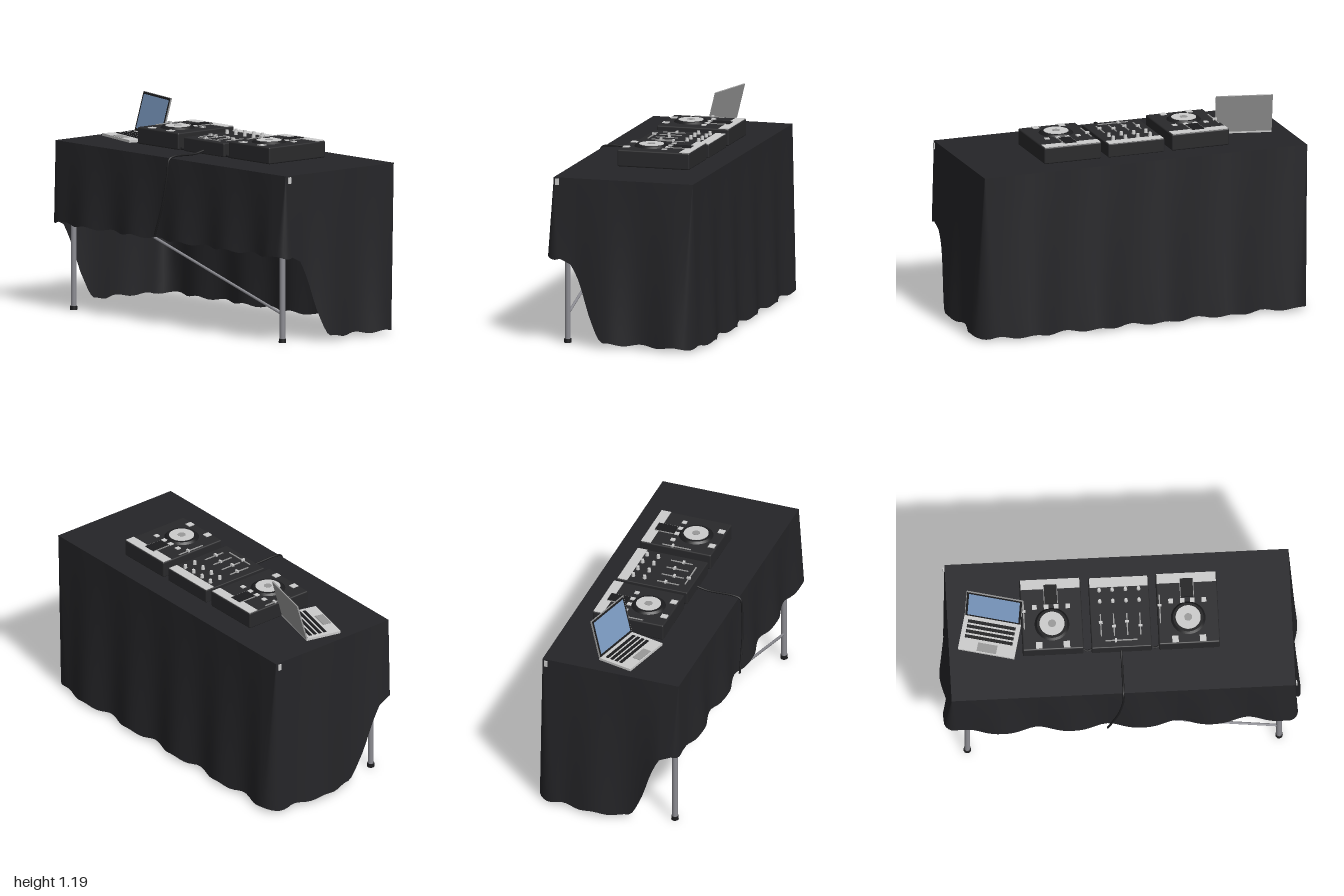
import * as THREE from 'three';
import { RoundedBoxGeometry } from 'three/addons/geometries/RoundedBoxGeometry.js';

const mat = (color, side = THREE.FrontSide) => new THREE.MeshStandardMaterial({ color, side });
const grey = mat(0xcccccc), cloth = mat(0x252528, THREE.DoubleSide), black = mat(0x1c1c1e);
const dark = mat(0x29292b), steel = mat(0x8c8c92), blue = mat(0x7d9cc4), mid = mat(0x999999);

const TOP = 0.95, HX = 0.405, HZ = 0.96;

function add(parent, name, geo, material, x = 0, y = 0, z = 0) {
  const m = new THREE.Mesh(geo, material);
  m.name = name;
  m.position.set(x, y, z);
  parent.add(m);
  return m;
}
const box = (p, name, m, w, h, d, x, y, z) => add(p, name, new THREE.BoxGeometry(w, h, d), m, x, y, z);
const disc = (p, name, m, r0, r1, h, x, y, z, n = 32) =>
  add(p, name, new THREE.CylinderGeometry(r0, r1, h, n), m, x, y, z);

function tube(p, name, m, pts, r) {
  const curve = new THREE.CatmullRomCurve3(pts.map(a => new THREE.Vector3(...a)), false, 'centripetal');
  return add(p, name, new THREE.TubeGeometry(curve, pts.length * 8, r, 8), m);
}

// Height of the hem along the short ends: cut away towards -x
const hemCut = [[-0.41, 0.49], [-0.33, 0.48], [-0.3, 0.45], [-0.25, 0.35], [-0.2, 0.2],
  [-0.15, 0.08], [-0.12, 0.025], [0.41, 0.015]];
function hemAt(x) {
  for (let i = 1; i < hemCut.length; i++) {
    const [x0, y0] = hemCut[i - 1], [x1, y1] = hemCut[i];
    if (x <= x1) return y0 + (y1 - y0) * Math.max(0, (x - x0) / (x1 - x0));
  }
  return 0.015;
}

// Draped skirt: columns around the table, corners fan out towards the hem
function skirtGeometry() {
  const cols = [], inset = 0.1, rows = 10;
  const sides = [[1, 0], [0, 1], [-1, 0], [0, -1]];
  sides.forEach(([nx, nz], k) => {
    const len = (nx ? HZ : HX) - inset, n = nx ? 56 : 28;
    for (let i = 0; i <= n; i++) {
      const u = len * (2 * i / n - 1);
      cols.push({ x: nx * HX - nz * u, z: nz * HZ + nx * u, nx, nz, corner: false });
    }
    const [mx, mz] = sides[(k + 1) % 4];
    for (let i = 1; i < 8; i++) {
      const a = i / 8 * Math.PI / 2, c = Math.cos(a), s = Math.sin(a);
      cols.push({ x: (nx + mx) * HX, z: (nz + mz) * HZ, nx: nx * c + mx * s, nz: nz * c + mz * s, corner: true });
    }
  });
  const pos = [], idx = [], N = cols.length;
  let s = 0;
  const total = 4 * (HX + HZ);
  cols.forEach((c, i) => {
    const prev = cols[(i + N - 1) % N];
    s += c.corner || prev.corner ? 0.025 : Math.hypot(c.x - prev.x, c.z - prev.z);
    const wave = 0.5 + 0.5 * Math.cos(s / total * 14 * 2 * Math.PI);
    const hem = hemAt(c.x) + 0.007 * (1 + Math.cos(s / total * 28 * 2 * Math.PI)) - 0.006;
    for (let j = 0; j <= rows; j++) {
      const t = j / rows, y = TOP - t * (TOP - hem);
      const out = t * (0.008 + 0.036 * wave);
      let { x, z } = c;
      if (c.corner) {
        const r = 0.002 + inset * (TOP - y) / TOP;
        x += r * (c.nx - Math.sign(c.x));
        z += r * (c.nz - Math.sign(c.z));
      }
      pos.push(x + c.nx * out, y, z + c.nz * out);
      if (j < rows) {
        const a = i * (rows + 1) + j, b = ((i + 1) % N) * (rows + 1) + j;
        idx.push(a, b, a + 1, b, b + 1, a + 1);
      }
    }
  });
  const g = new THREE.BufferGeometry();
  g.setAttribute('position', new THREE.Float32BufferAttribute(pos, 3));
  // columns run from +x to +z, so reverse the winding to face outwards
  for (let i = 0; i < idx.length; i += 3) [idx[i + 1], idx[i + 2]] = [idx[i + 2], idx[i + 1]];
  g.setIndex(idx);
  g.computeVertexNormals();
  return g;
}

function table() {
  const g = new THREE.Group();
  g.name = 'table';
  box(g, 'clothTop', cloth, 2 * HX, 0.006, 2 * HZ, 0, TOP - 0.003, 0);
  box(g, 'tableBoard', mid, 0.78, 0.03, 1.9, 0, TOP - 0.022, 0);
  add(g, 'clothSkirt', skirtGeometry(), cloth);
  for (const s of [1, -1]) {
    disc(g, 'leg', steel, 0.016, 0.016, 0.91, -0.35, 0.475, s * 0.87, 16);
    disc(g, 'foot', black, 0.02, 0.021, 0.022, -0.35, 0.011, s * 0.87, 16);
    box(g, 'cornerClip', grey, 0.02, 0.036, 0.006, -s * 0.383, 0.926, s * 0.967);
  }
  tube(g, 'diagonalBrace', steel, [[-0.35, 0.16, 0.87], [-0.35, 0.68, -0.87]], 0.008);
  return g;
}

// Fader: thin slot with a cap, along x or along z
function fader(p, alongX, len, x, y, z, cap) {
  box(p, 'faderSlot', mid, alongX ? len : 0.007, 0.004, alongX ? 0.007 : len, x, y + 0.002, z);
  box(p, 'faderCap', grey, alongX ? 0.012 : 0.022, 0.012, alongX ? 0.022 : 0.012,
    x + (alongX ? cap : 0), y + 0.006, z + (alongX ? 0 : cap));
}

function deck(z) {
  const g = new THREE.Group(), y = 0.095;
  g.name = 'deck';
  g.position.set(0.05, TOP, z);
  add(g, 'deckBody', new RoundedBoxGeometry(0.42, y, 0.34, 3, 0.008), dark, 0, y / 2, 0);
  box(g, 'rearPanel', grey, 0.057, 0.004, 0.33, 0.178, y + 0.001, 0);
  disc(g, 'platter', black, 0.085, 0.098, 0.012, -0.06, y + 0.005, 0, 48);
  disc(g, 'platterLabel', grey, 0.07, 0.07, 0.003, -0.06, y + 0.012, 0, 40);
  disc(g, 'platterHub', mid, 0.022, 0.022, 0.003, -0.06, y + 0.0135, 0);
  for (const dz of [-0.077, 0.077]) box(g, 'padButton', grey, 0.038, 0.005, 0.036, -0.183, y + 0.002, dz);
  for (const dz of [-0.093, -0.028, 0.028, 0.093]) box(g, 'smallButton', grey, 0.026, 0.006, 0.026, 0.043, y + 0.002, dz);
  box(g, 'display', black, 0.11, 0.008, 0.07, 0.118, y + 0.003, 0);
  for (const dz of [-0.037, 0.037]) box(g, 'displayTrim', mid, 0.11, 0.006, 0.004, 0.118, y + 0.002, dz);
  fader(g, true, 0.17, 0, y, -0.155, 0.02);
  return g;
}

function mixer() {
  const g = new THREE.Group(), y = 0.078;
  g.name = 'mixer';
  g.position.set(0.05, TOP, 0.002);
  add(g, 'mixerBody', new RoundedBoxGeometry(0.42, y, 0.335, 3, 0.006), dark, 0, y / 2, 0);
  box(g, 'rearPanel', grey, 0.057, 0.004, 0.325, 0.178, y + 0.001, 0);
  [-0.11, -0.037, 0.037, 0.11].forEach((z, i) => {
    fader(g, true, 0.13, -0.075, y, z, [0.015, -0.01, 0.015, -0.012][i]);
    for (const x of [0.065, 0.132]) disc(g, 'knob', grey, 0.009, 0.011, 0.022, x, y + 0.01, z, 16);
  });
  fader(g, false, 0.18, -0.168, y, 0, -0.03);
  return g;
}

function laptop() {
  const g = new THREE.Group();
  g.name = 'laptop';
  g.position.set(-0.035, TOP, -0.73);
  g.rotation.y = -0.237;
  box(g, 'laptopBase', grey, 0.21, 0.014, 0.32, 0, 0.008, 0);
  for (let i = 0; i < 4; i++) box(g, 'keyRow', black, 0.018, 0.004, 0.27, -0.022 + i * 0.03, 0.016, 0);
  box(g, 'trackpad', mid, 0.05, 0.003, 0.11, -0.073, 0.0155, 0);
  // Lid tilts back about the hinge
  const lid = new THREE.Group();
  lid.name = 'lid';
  lid.position.set(0.102, 0.012, 0);
  lid.rotation.z = -0.26;
  box(lid, 'lidShell', mid, 0.008, 0.23, 0.32, 0, 0.115, 0);
  box(lid, 'bezel', black, 0.002, 0.222, 0.312, -0.0045, 0.116, 0);
  box(lid, 'screen', blue, 0.002, 0.196, 0.288, -0.006, 0.117, 0);
  g.add(lid);
  return g;
}

export function createModel() {
  const model = new THREE.Group();
  model.name = 'djTable';
  model.add(table(), deck(-0.38), mixer(), deck(0.38), laptop());
  // Power lead over the table edge, and short leads between the units
  tube(model, 'powerCable', black, [[-0.15, 0.972, 0], [-0.22, 0.958, 0], [-0.38, 0.958, 0], [-0.415, 0.945, 0],
    [-0.428, 0.85, -0.005], [-0.437, 0.7, -0.03], [-0.441, 0.6, -0.06], [-0.444, 0.51, -0.09]], 0.006);
  for (const s of [-1, 1]) tube(model, 'linkCable', black,
    [[-0.13, 0.965, s * 0.15], [-0.145, 0.956, s * 0.19], [-0.13, 0.965, s * 0.22]], 0.005);
  return model;
}
